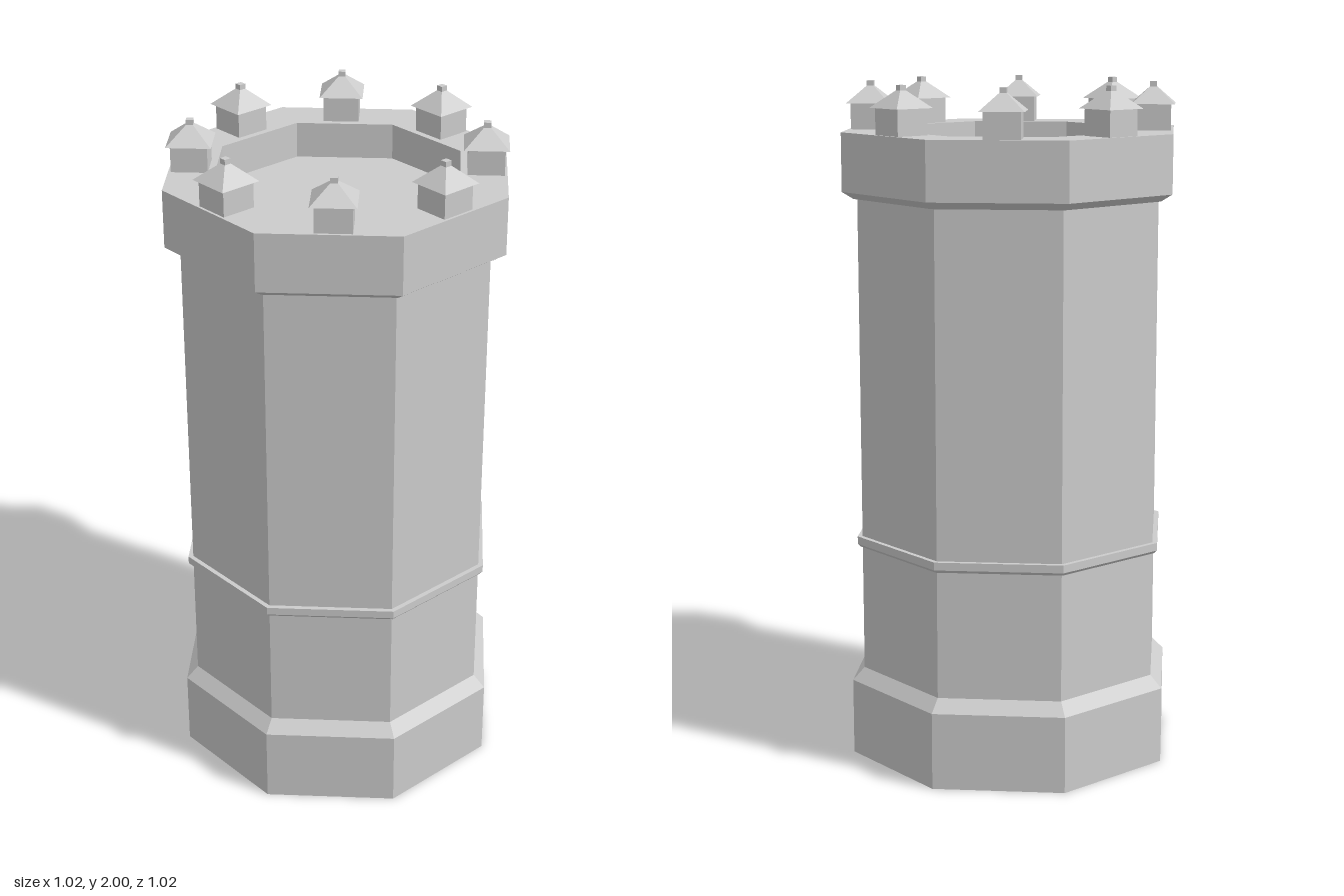
import * as THREE from 'three';

const stone = new THREE.MeshStandardMaterial({ color: 0xcccccc, flatShading: true });

function addMesh(parent, name, geometry) {
  const flat = geometry.index ? geometry.toNonIndexed() : geometry;
  flat.computeVertexNormals();
  const mesh = new THREE.Mesh(flat, stone);
  mesh.name = name;
  parent.add(mesh);
  return mesh;
}

// Eight-sided ring from a [radius, height] profile, corners on the x and z axes
function octagon(parent, name, profile) {
  const points = profile.map(([r, y]) => new THREE.Vector2(r, y));
  return addMesh(parent, name, new THREE.LatheGeometry(points, 8));
}

// Square block or frustum with sides parallel to the axes
function squareBlock(topWidth, bottomWidth, y0, y1) {
  const k = Math.SQRT1_2;
  return new THREE.CylinderGeometry(topWidth * k, bottomWidth * k, y1 - y0, 4)
    .rotateY(Math.PI / 4)
    .translate(0, (y0 + y1) / 2, 0);
}

export function createModel() {
  const tower = new THREE.Group();
  tower.name = 'octagonalTower';

  // Outer walls
  octagon(tower, 'base', [[0.43, 0], [0.5, 0], [0.5, 0.228], [0.464, 0.265]]);
  octagon(tower, 'shaft', [[0.464, 0.265], [0.464, 1.672]]);
  octagon(tower, 'stringCourse', [
    [0.464, 0.641], [0.47, 0.641], [0.479, 0.65], [0.479, 0.673], [0.464, 0.673],
  ]);

  // Crown with its sunken roof deck
  octagon(tower, 'crown', [
    [0.464, 1.672], [0.475, 1.672], [0.509, 1.693], [0.509, 1.862], [0.368, 1.862], [0.368, 1.757],
  ]);
  octagon(tower, 'roofDeck', [[0.368, 1.757], [0, 1.757]]);

  // Hollow inside, open at the bottom
  octagon(tower, 'interior', [[0, 1.67], [0.395, 1.67], [0.395, 0.25], [0.43, 0.21], [0.43, 0]]);

  // One small turret over each face, set slightly off the face centre
  for (let i = 0; i < 8; i++) {
    const turret = new THREE.Group();
    turret.name = `turret${i + 1}`;
    const facing = Math.PI / 8 + (i * Math.PI) / 4;
    const angle = facing + THREE.MathUtils.degToRad(1.6);
    turret.position.set(0.411 * Math.sin(angle), 0, 0.411 * Math.cos(angle));
    turret.rotation.y = facing;
    addMesh(turret, 'turretBody', squareBlock(0.103, 0.103, 1.862, 1.94));
    addMesh(turret, 'turretRoof', squareBlock(0.016, 0.126, 1.937, 1.987));
    addMesh(turret, 'turretFinial', squareBlock(0.02, 0.02, 1.985, 2));
    tower.add(turret);
  }
  return tower;
}
